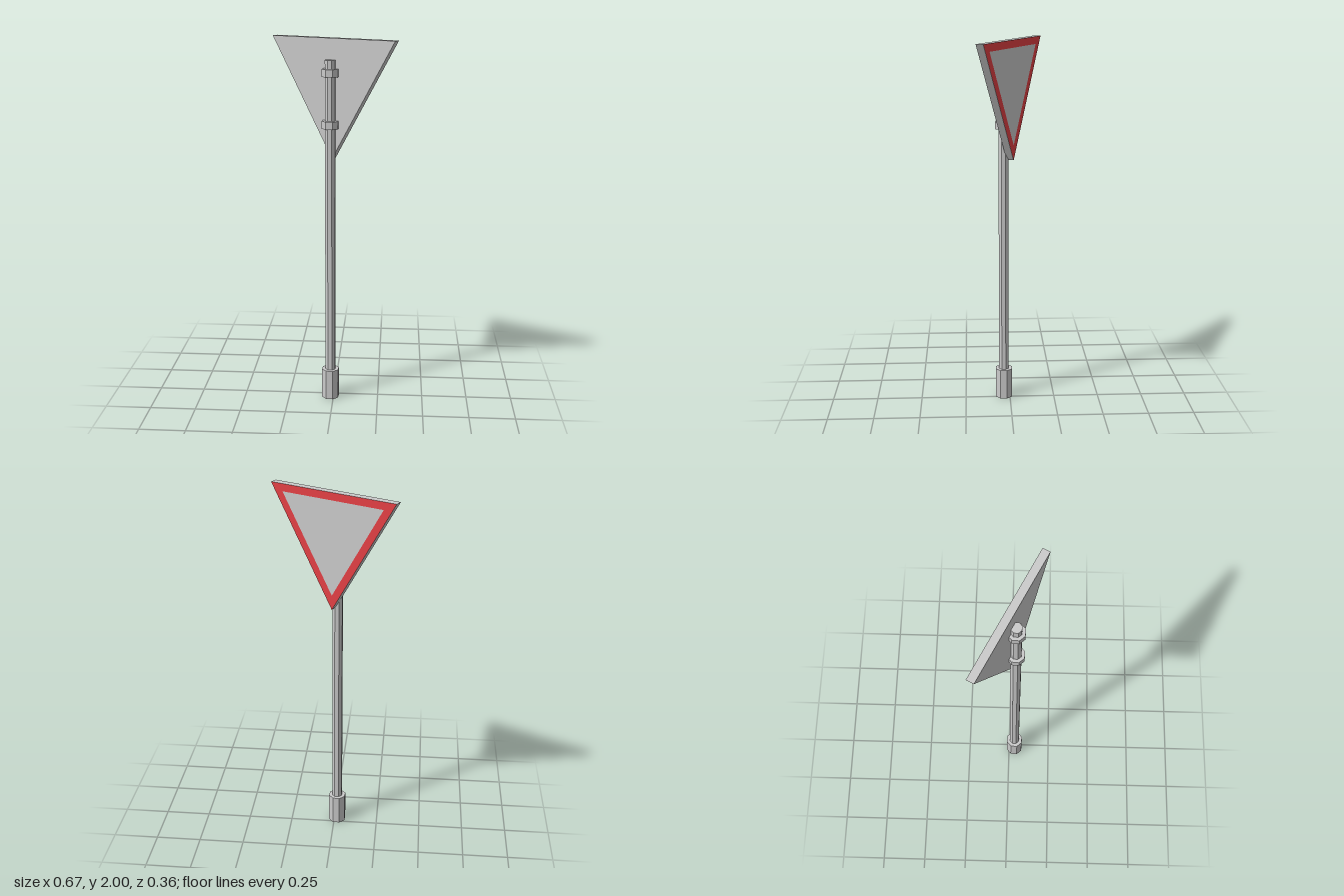
import * as THREE from 'three';

export function createModel() {
  const model = new THREE.Group();
  model.name = 'yieldSign';
  model.rotation.y = -THREE.MathUtils.degToRad(26.4);

  const grey = new THREE.MeshStandardMaterial({ color: 0xcccccc, flatShading: true });
  const red = new THREE.MeshStandardMaterial({ color: 0xe64045, flatShading: true });

  const add = (name, geometry, material = grey) => {
    const mesh = new THREE.Mesh(geometry, material);
    mesh.name = name;
    model.add(mesh);
    return mesh;
  };

  // Octagonal post parts, all on one axis behind the board
  const postZ = 0.0375;
  const octagon = (name, radius, bottom, top) => {
    const mesh = add(name, new THREE.CylinderGeometry(radius, radius, top - bottom, 8));
    mesh.position.set(0, (bottom + top) / 2, postZ);
  };
  octagon('base', 0.049, 0, 0.17);
  octagon('post', 0.029, 0.17, 1.89);
  octagon('lowerClamp', 0.047, 1.535, 1.575);
  octagon('upperClamp', 0.047, 1.805, 1.845);

  // Equilateral triangle pointing down, shrunk evenly by an inset
  const width = 0.728, height = width * Math.sqrt(3) / 2, thickness = 0.041;
  const corners = (inset) => {
    const half = width / 2 - inset * Math.sqrt(3);
    return [
      new THREE.Vector2(-half, 2 - inset),
      new THREE.Vector2(0, 2 - height + 2 * inset),
      new THREE.Vector2(half, 2 - inset),
    ];
  };

  // Board
  const board = add('board', new THREE.ExtrudeGeometry(new THREE.Shape(corners(0)), {
    depth: thickness, bevelEnabled: false,
  }));
  board.position.z = -thickness / 2;

  // Red border on the face away from the post
  const ring = new THREE.Shape(corners(0));
  ring.holes.push(new THREE.Path(corners(0.04)));
  const border = add('border', new THREE.ShapeGeometry(ring), red);
  border.rotation.y = Math.PI;
  border.position.z = -thickness / 2 - 0.001;

  const group = new THREE.Group();
  group.add(model);
  return group;
}
